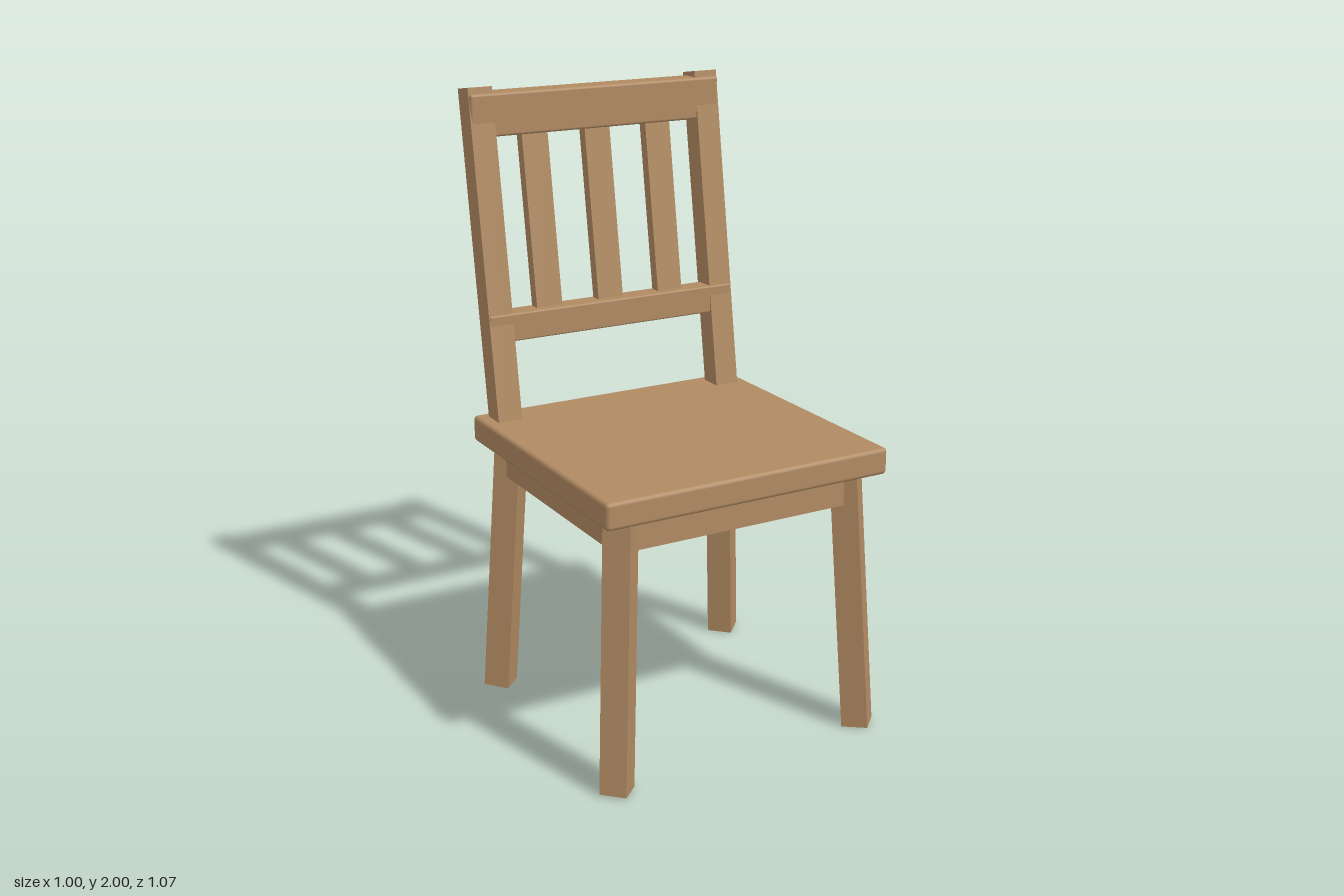
import * as THREE from 'three';
import { RoundedBoxGeometry } from 'three/addons/geometries/RoundedBoxGeometry.js';

export function createModel() {
  const chair = new THREE.Group();
  chair.name = 'chair';
  const wood = new THREE.MeshStandardMaterial({ color: 0xb08a62 });
  wood.name = 'wood';

  const SEAT_Z = 0.055; // the seat sits forward of the leaning back

  function add(parent, name, geometry, x, y, z) {
    const mesh = new THREE.Mesh(geometry, wood);
    mesh.name = name;
    mesh.position.set(x, y, z);
    parent.add(mesh);
    return mesh;
  }
  const box = (w, h, d) => new THREE.BoxGeometry(w, h, d);

  // Seat board with eased edges
  add(chair, 'seat', new RoundedBoxGeometry(0.98, 0.086, 0.93, 2, 0.013), 0, 0.908, SEAT_Z);

  // Four square legs, turned 45 degrees and splayed diagonally outward
  const legSize = 0.085, legLength = 0.9, splay = 0.0735;
  for (const sx of [-1, 1]) {
    for (const sz of [-1, 1]) {
      const geometry = box(legSize, legLength, legSize).translate(0, legLength / 2, 0);
      const name = (sz > 0 ? 'front' : 'back') + (sx > 0 ? 'Left' : 'Right') + 'Leg';
      const leg = add(chair, name, geometry, sx * 0.442, 0.003, SEAT_Z + sz * 0.419);
      leg.rotation.set(-splay, Math.atan2(sx, sz), 0, 'YXZ');
    }
  }

  // Apron frame under the seat
  const apronT = 0.06, apronY = 0.8175, apronH = 0.105;
  for (const s of [-1, 1]) {
    add(chair, s > 0 ? 'frontApron' : 'backApron', box(0.76, apronH, apronT),
      0, apronY, SEAT_Z + s * (0.407 - apronT / 2));
    add(chair, s > 0 ? 'leftApron' : 'rightApron', box(apronT, apronH, 0.72),
      s * (0.43 - apronT / 2), apronY, SEAT_Z);
  }

  // Leaning back: local y runs up the posts, local z = 0 is their front face
  const back = new THREE.Group();
  back.name = 'leaningBack';
  back.position.set(0, 0.95, -0.295);
  back.rotation.x = -0.1512;
  chair.add(back);

  for (const s of [-1, 1]) {
    add(back, s > 0 ? 'leftPost' : 'rightPost', box(0.083, 1.142, 0.077), s * 0.4085, 0.491, -0.0385);
  }
  for (const x of [-0.224, 0, 0.224]) {
    add(back, 'backSlat', box(0.091, 0.62, 0.038), x, 0.625, -0.041);
  }

  // Upright rails that join the posts
  add(chair, 'topRail', new RoundedBoxGeometry(0.896, 0.137, 0.084, 2, 0.009), 0, 1.911, -0.48);
  add(chair, 'lowerRail', new RoundedBoxGeometry(0.896, 0.092, 0.075, 2, 0.006), 0, 1.245, -0.3795);

  return chair;
}
